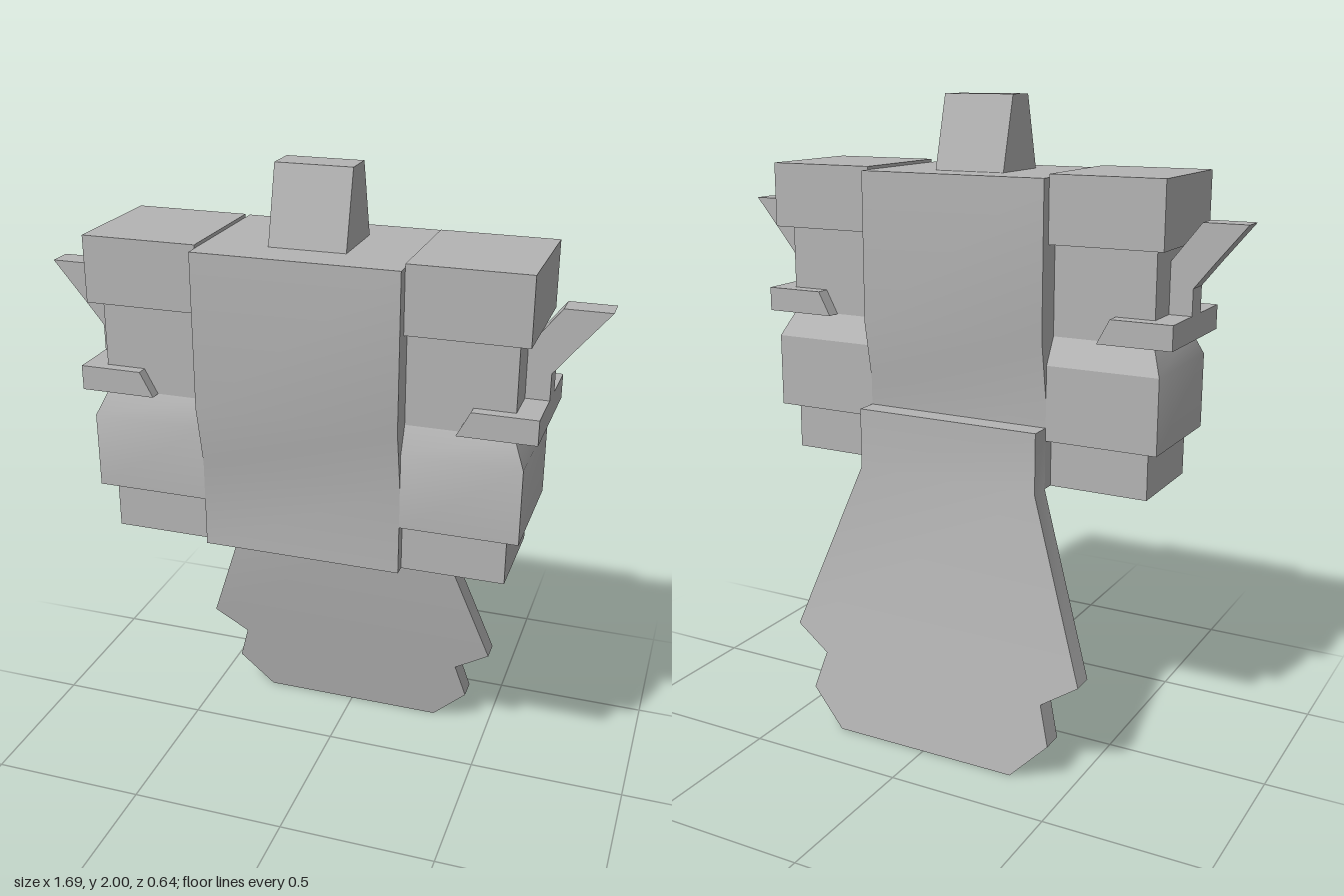
import * as THREE from 'three';
import { toCreasedNormals } from 'three/addons/utils/BufferGeometryUtils.js';

// Solid stacked from rectangular sections, bottom to top: [y, xMin, xMax, zBack, zFront]
function loft(rows) {
  const positions = [];
  const index = [];
  for (const [y, x0, x1, zb, zf] of rows) {
    positions.push(x0, y, zf, x1, y, zf, x1, y, zb, x0, y, zb);
  }
  const quad = (a, b, c, d) => index.push(a, b, c, a, c, d);
  for (let r = 0; r < rows.length - 1; r++) {
    for (let i = 0; i < 4; i++) {
      const j = (i + 1) % 4;
      quad(r * 4 + i, r * 4 + j, r * 4 + 4 + j, r * 4 + 4 + i);
    }
  }
  const t = (rows.length - 1) * 4;
  quad(3, 2, 1, 0);
  quad(t, t + 1, t + 2, t + 3);
  const geometry = new THREE.BufferGeometry();
  geometry.setAttribute('position', new THREE.Float32BufferAttribute(positions, 3));
  geometry.setIndex(index);
  return toCreasedNormals(geometry, 0.5);
}

export function createModel() {
  const model = new THREE.Group();
  model.name = 'model';
  const grey = new THREE.MeshStandardMaterial({ color: 0xb4b4b4 });
  grey.name = 'grey';

  const add = (name, rows, parent = model) => {
    const mesh = new THREE.Mesh(loft(rows), grey);
    mesh.name = name;
    parent.add(mesh);
  };

  // Central body, thicker in its upper half
  const w = 0.305;
  add('core', [
    [0.85, -w, w, -0.1, 0.285],
    [1.12, -w, w, -0.1, 0.285],
    [1.31, -w, w, -0.135, 0.325],
    [1.775, -w, w, -0.135, 0.325],
  ]);

  // Tapered block on top
  add('topBlock', [
    [1.775, -0.115, 0.115, -0.015, 0.205],
    [2, -0.115, 0.115, 0.045, 0.145],
  ]);

  // Hanging rear plate: vertical above the bend, swept back below it
  const plate = [[0, 0.305], [0.115, 0.42], [0.235, 0.385], [0.31, 0.5], [0.85, w], [1.04, w]];
  add('tailPlate', plate.map(([y, x]) => {
    const z = -0.1 - Math.max(0, 0.85 - y) * 0.176;
    return [y, -x, x, z - 0.07, z];
  }));

  // Side pods, mirrored
  for (const side of [1, -1]) {
    const pod = new THREE.Group();
    pod.name = side > 0 ? 'leftPod' : 'rightPod';
    model.add(pod);
    const part = (name, rows) => add(name, rows.map(([y, a, b, zb, zf]) =>
      (side > 0 ? [y, a, b, zb, zf] : [y, -b, -a, zb, zf])), pod);

    part('podBase', [[0.85, w, 0.615, -0.06, 0.25], [1, w, 0.615, -0.06, 0.25]]);
    part('podLower', [
      [1, w, 0.655, -0.1, 0.285],
      [1.23, w, 0.655, -0.1, 0.285],
      [1.31, w, 0.62, -0.055, 0.25],
    ]);
    part('podNeck', [[1.31, w, 0.62, -0.055, 0.25], [1.585, w, 0.62, -0.055, 0.25]]);
    part('podCap', [[1.585, w, 0.655, -0.1, 0.285], [1.785, w, 0.655, -0.1, 0.285]]);

    // Band wrapped around the pod, with slanted inner ends
    part('band', [[1.31, 0.46, 0.69, -0.1, 0.285], [1.385, 0.5, 0.69, -0.1, 0.285]]);
    // Outward-leaning fin standing on the band
    part('fin', [
      [1.385, 0.62, 0.69, 0.055, 0.13],
      [1.465, 0.62, 0.69, 0.055, 0.13],
      [1.54, 0.62, 0.75, 0.055, 0.13],
      [1.655, 0.71, 0.845, 0.055, 0.13],
    ]);
  }
  return model;
}
